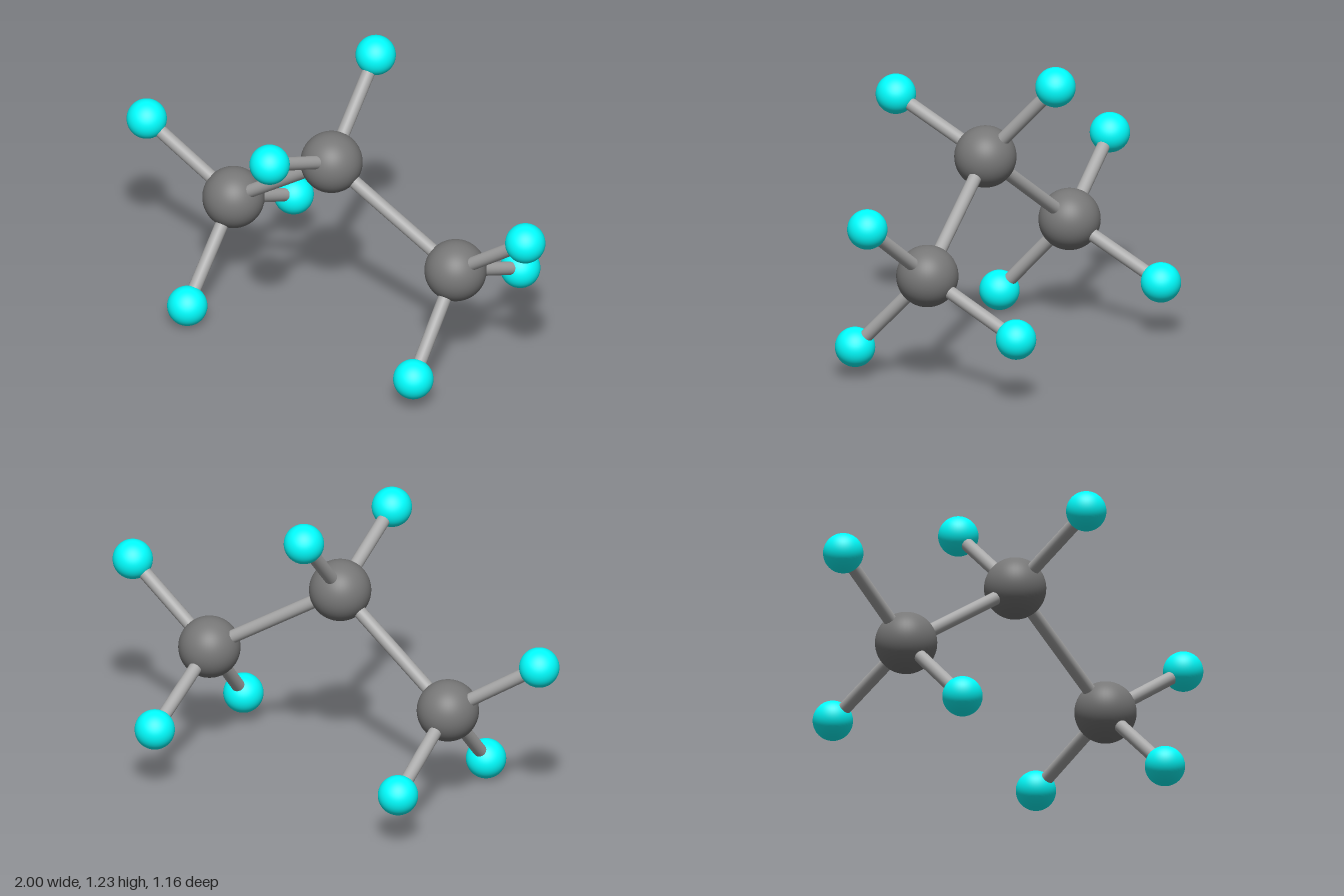
import * as THREE from 'three';

const CARBON_RADIUS = 0.125;
const HYDROGEN_RADIUS = 0.081;
const BOND_RADIUS = 0.027;

// Carbon chain, each with the hydrogens bonded to it
const chain = [
  { name: 'rightCarbon', at: [-0.54, 0.427, 0.083],
    hydrogens: [[-0.919, 0.683, 0.188], [-0.606, 0.227, -0.338], [-0.489, 0.081, 0.406]] },
  { name: 'middleCarbon', at: [-0.005, 0.812, 0.077],
    hydrogens: [[-0.062, 1.149, -0.241], [0.051, 1.007, 0.497]] },
  { name: 'leftCarbon', at: [0.538, 0.465, -0.072],
    hydrogens: [[0.919, 0.748, -0.076], [0.493, 0.27, -0.497], [0.607, 0.124, 0.247]] },
];

export function createModel() {
  const model = new THREE.Group();
  model.name = 'molecule';

  const carbonMaterial = new THREE.MeshStandardMaterial({ color: 0x777777 });
  const hydrogenMaterial = new THREE.MeshStandardMaterial({ color: 0x00ffff });
  const bondMaterial = new THREE.MeshStandardMaterial({ color: 0xaaaaaa });
  const carbonGeometry = new THREE.SphereGeometry(CARBON_RADIUS, 48, 32);
  const hydrogenGeometry = new THREE.SphereGeometry(HYDROGEN_RADIUS, 48, 32);

  function addAtom(name, geometry, material, position) {
    const atom = new THREE.Mesh(geometry, material);
    atom.name = name;
    atom.position.copy(position);
    model.add(atom);
  }

  // Rod running between two atom centres
  function addBond(name, a, b) {
    const axis = b.clone().sub(a);
    const geometry = new THREE.CylinderGeometry(BOND_RADIUS, BOND_RADIUS, axis.length(), 24);
    const bond = new THREE.Mesh(geometry, bondMaterial);
    bond.name = name;
    bond.position.copy(a).lerp(b, 0.5);
    bond.quaternion.setFromUnitVectors(new THREE.Vector3(0, 1, 0), axis.normalize());
    model.add(bond);
  }

  let previous = null;
  for (const { name, at, hydrogens } of chain) {
    const centre = new THREE.Vector3(...at);
    addAtom(name, carbonGeometry, carbonMaterial, centre);
    if (previous) addBond('carbonBond', previous, centre);
    previous = centre;

    hydrogens.forEach((h, i) => {
      const position = new THREE.Vector3(...h);
      addAtom(`${name}Hydrogen${i + 1}`, hydrogenGeometry, hydrogenMaterial, position);
      addBond(`${name}HydrogenBond${i + 1}`, centre, position);
    });
  }
  return model;
}
